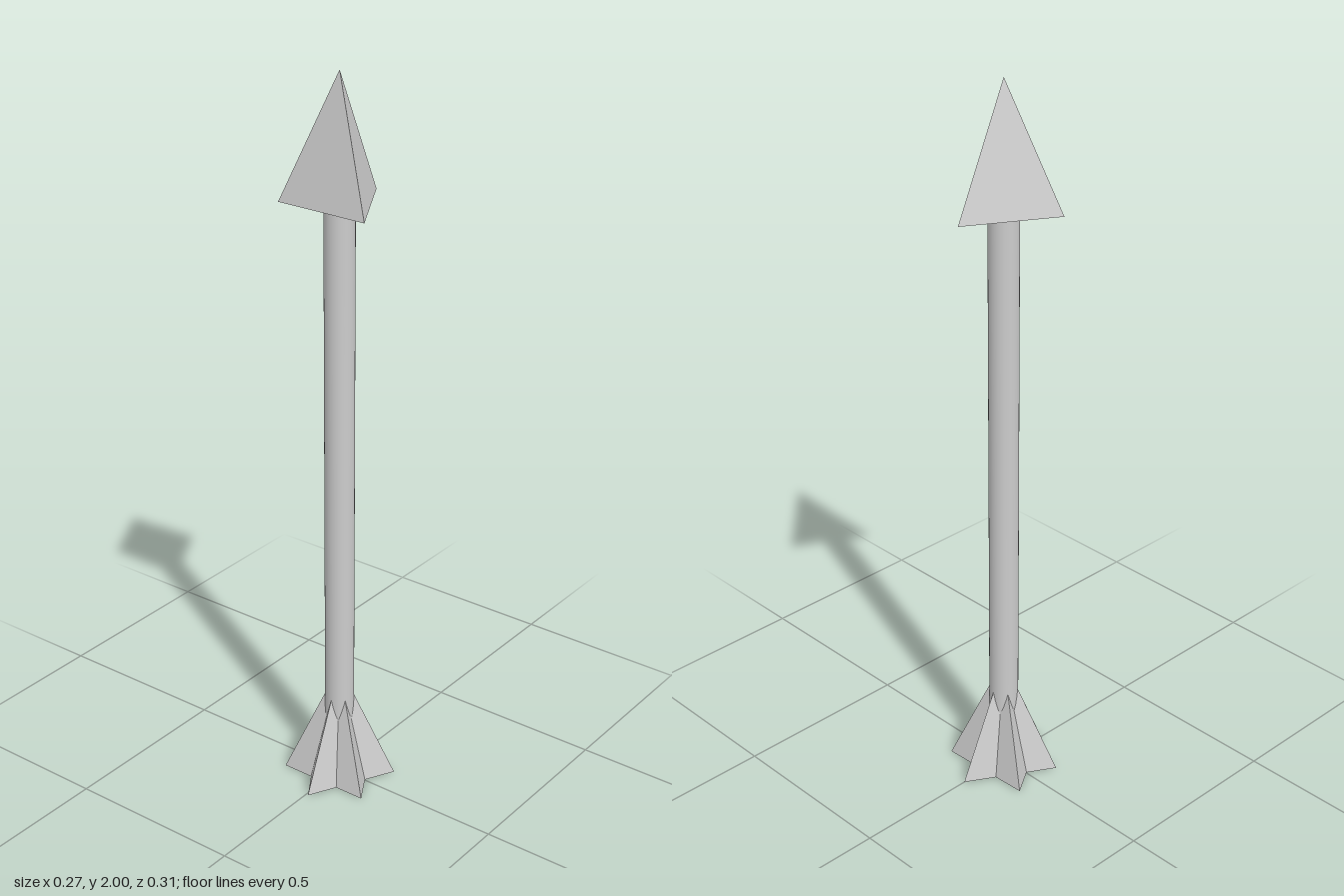
import * as THREE from 'three';

const RADIUS = 0.153, HEIGHT = 0.337, SHAFT = 0.04;

export function createModel() {
  const group = new THREE.Group();
  const flat = new THREE.MeshStandardMaterial({ color: 0xcccccc, flatShading: true });
  const smooth = new THREE.MeshStandardMaterial({ color: 0xcccccc });

  // Three-sided pyramid standing on height y, turned about the shaft
  function addPyramid(name, y, turn) {
    const mesh = new THREE.Mesh(new THREE.ConeGeometry(RADIUS, HEIGHT, 3), flat);
    mesh.name = name;
    mesh.position.y = y + HEIGHT / 2;
    mesh.rotation.y = turn;
    group.add(mesh);
  }

  // Pointed head
  addPyramid('arrowHead', 2 - HEIGHT, Math.PI);

  // Round shaft
  const shaftLength = 2 - HEIGHT;
  const shaft = new THREE.Mesh(new THREE.CylinderGeometry(SHAFT, SHAFT, shaftLength, 32), smooth);
  shaft.name = 'shaft';
  shaft.position.y = shaftLength / 2;
  group.add(shaft);

  // Tail: two crossed pyramids forming a six-pointed star
  addPyramid('tailBack', 0, Math.PI);
  addPyramid('tailFront', 0, 0.046);

  return group;
}
